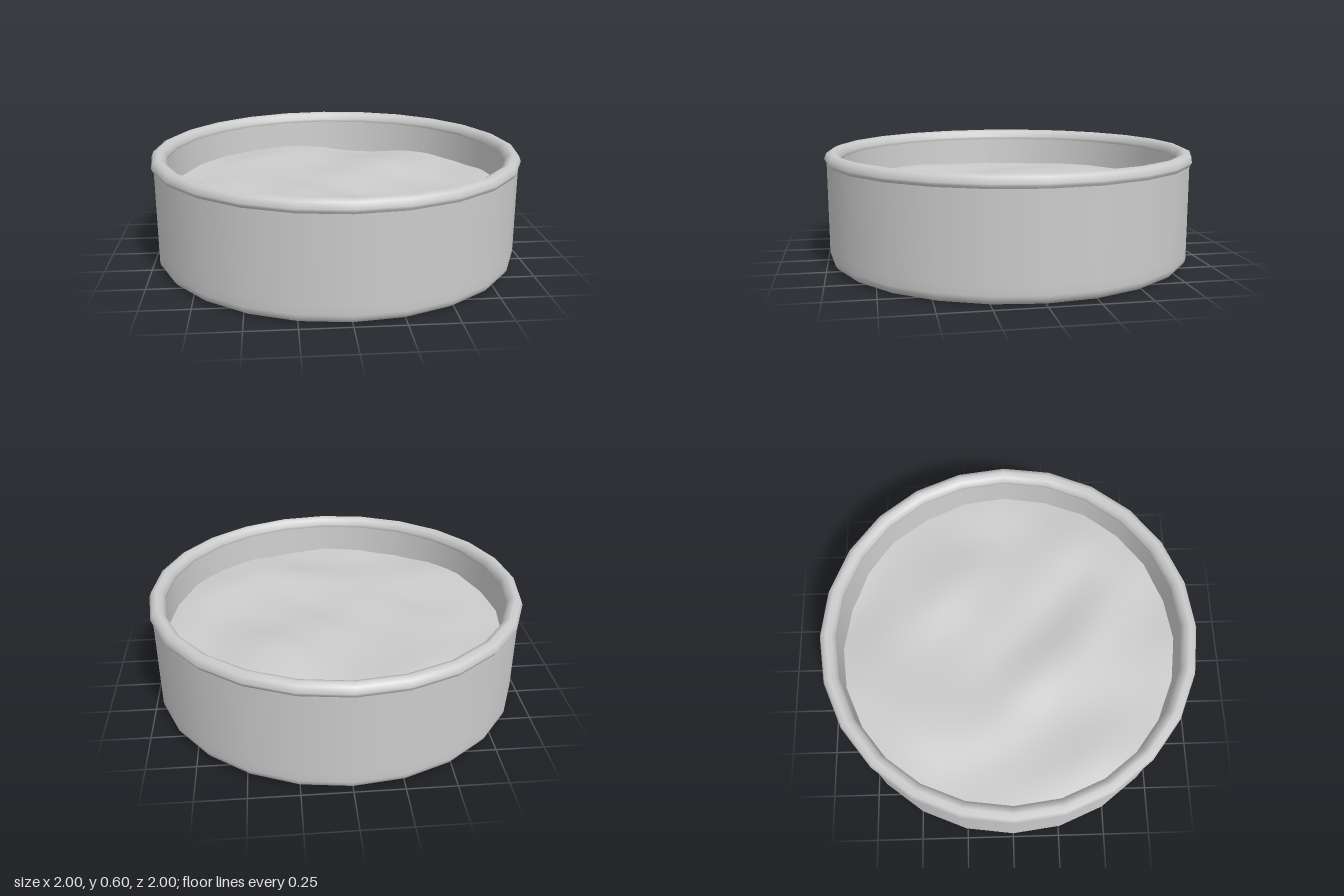
import * as THREE from 'three';

const SIDES = 24;

// Mounds and hollows in the filling: x, z, height, length along the ridge, width, ridge angle
const MOUNDS = [
  [0.32, -0.3, 0.03, 0.32, 0.16, 0.8],
  [-0.2, 0.12, 0.025, 0.3, 0.15, 0.7],
  [0.15, 0.48, 0.025, 0.3, 0.15, 0.4],
  [-0.62, 0.45, 0.02, 0.3, 0.16, 1.0],
  [-0.48, -0.52, 0.025, 0.3, 0.16, -0.6],
  [0.6, 0.42, 0.02, 0.3, 0.16, 2.2],
  [0.24, -0.85, -0.03, 0.3, 0.2, 0],
  [0.05, 0.12, -0.02, 0.3, 0.16, 0.7],
  [-0.65, -0.05, -0.015, 0.3, 0.16, 1.4],
  [0.65, -0.05, -0.015, 0.28, 0.16, 1.5],
];

// Uneven height of the filling: a faint dome, bent waves and the mounds
function fillHeight(x, z) {
  const u = x + 0.2 * Math.sin(3 * z + 0.7);
  const v = z + 0.2 * Math.sin(3 * x + 1.9);
  let y = 0.392 - 0.01 * (x * x + z * z);
  y += 0.005 * Math.sin(9 * u + 2 * v) + 0.004 * Math.sin(11 * v - 3 * u + 1);
  for (const [cx, cz, h, length, width, angle] of MOUNDS) {
    const dx = x - cx, dz = z - cz, c = Math.cos(angle), s = Math.sin(angle);
    y += h * Math.exp(-(((dx * c + dz * s) / length) ** 2) - ((dz * c - dx * s) / width) ** 2);
  }
  return y;
}

export function createModel() {
  const group = new THREE.Group();
  const material = new THREE.MeshStandardMaterial({ color: 0xcccccc });
  const add = (name, geometry) => {
    const mesh = new THREE.Mesh(geometry, material);
    mesh.name = name;
    group.add(mesh);
  };
  const lathe = (points, sides = SIDES) =>
    new THREE.LatheGeometry(points.map(([r, y]) => new THREE.Vector2(r, y)), sides);

  // Outer shell: flat underside, rounded foot and straight wall
  const shell = [[0, 0], [0.9, 0]];
  for (let i = 0; i <= 4; i++) {
    const a = (i / 4) * Math.PI / 2;
    shell.push([0.938 + 0.05 * Math.sin(a), 0.05 - 0.05 * Math.cos(a)]);
  }
  shell.push([0.988, 0.1], [0.988, 0.56]);
  add('outerWall', lathe(shell));

  // Inner wall, narrowing slightly down to below the filling
  add('innerWall', lathe([[0.921, 0.56], [0.905, 0.3]]));

  // Rolled rim, almost flush with the wall underneath
  add('rim', lathe([
    [0.988, 0.535], [0.994, 0.545], [1, 0.558], [0.988, 0.588], [0.96, 0.6],
    [0.932, 0.588], [0.917, 0.56], [0.919, 0.546], [0.921, 0.535],
  ]));

  // Wavy filling, from the inner wall to the centre
  const rings = [];
  for (let i = 0; i <= 24; i++) rings.push([0.912 * (1 - i / 24), 0]);
  const filling = lathe(rings, SIDES * 3);
  const p = filling.attributes.position, n = filling.attributes.normal;
  const step = (2 * Math.PI) / SIDES, e = 0.02, up = new THREE.Vector3();
  for (let i = 0; i < p.count; i++) {
    // Pull points onto the flat sides of the wall
    const a = Math.atan2(p.getX(i), p.getZ(i));
    const off = a - (Math.floor(a / step + 1e-6) + 0.5) * step;
    const k = Math.cos(step / 2) / Math.cos(off);
    const x = p.getX(i) * k, z = p.getZ(i) * k;
    p.setXYZ(i, x, fillHeight(x, z), z);
    // Normals from the slope keep the surface smooth across the seam
    up.set(fillHeight(x - e, z) - fillHeight(x + e, z), 2 * e, fillHeight(x, z - e) - fillHeight(x, z + e)).normalize();
    n.setXYZ(i, up.x, up.y, up.z);
  }
  add('filling', filling);

  return group;
}
